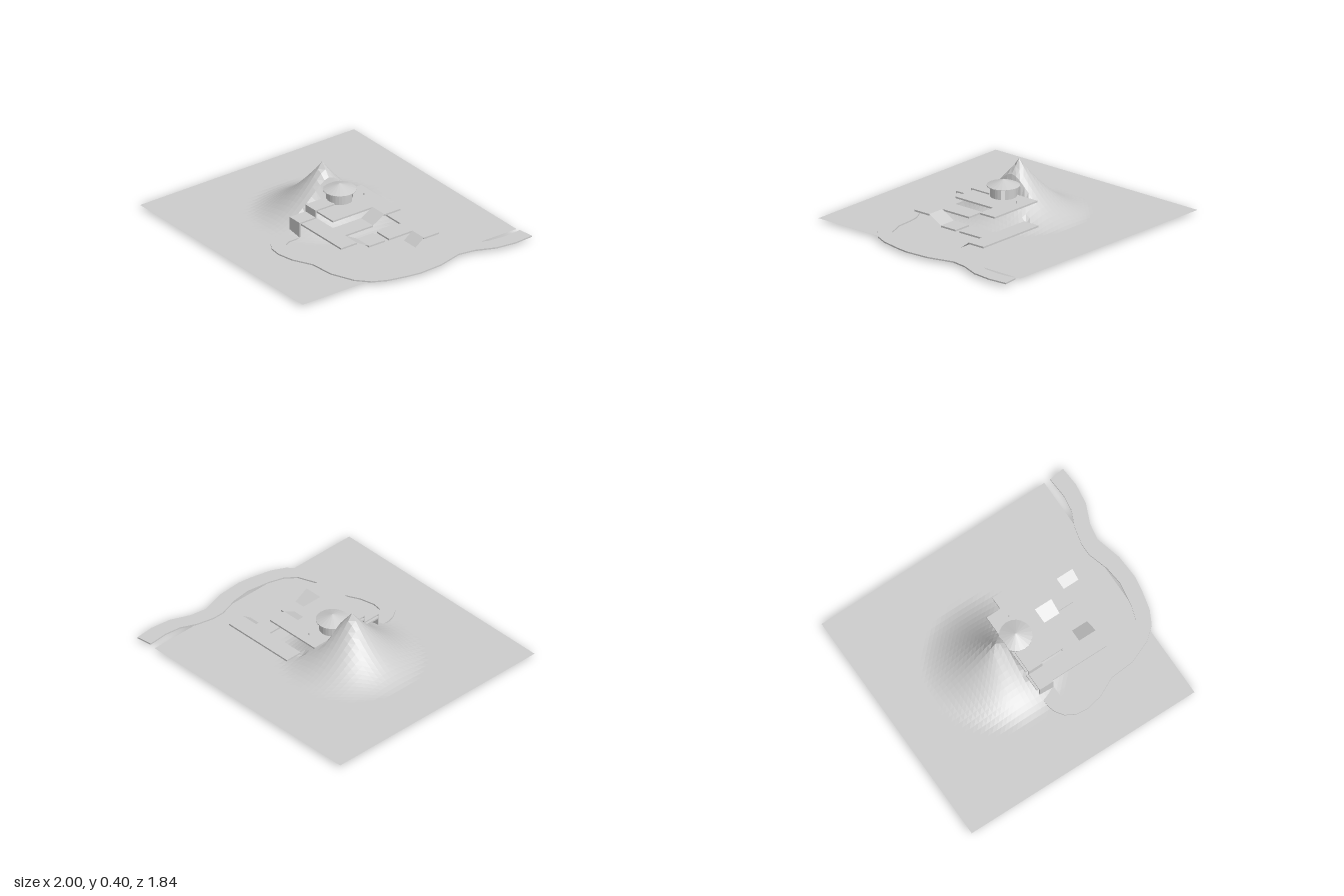
import * as THREE from 'three';

const flat = new THREE.MeshStandardMaterial({ color: 0xcccccc, flatShading: true, side: THREE.DoubleSide });

function add(parent, name, geometry, x = 0, y = 0, z = 0) {
  const mesh = new THREE.Mesh(geometry, flat);
  mesh.name = name;
  mesh.position.set(x, y, z);
  parent.add(mesh);
  return mesh;
}

// Horizontal slab from an [x, z] outline; y is its top
function slab(parent, name, outline, y, thickness = 0.012) {
  const shape = new THREE.Shape(outline.map(([x, z]) => new THREE.Vector2(x, -z)));
  const g = new THREE.ExtrudeGeometry(shape, { depth: thickness, bevelEnabled: false });
  g.rotateX(-Math.PI / 2);
  return add(parent, name, g, 0, y - thickness, 0);
}

// Sloping sheet between a high edge and a low edge
function ramp(parent, x0, x1, zHigh, yHigh, zLow, yLow) {
  const g = new THREE.PlaneGeometry(x1 - x0, 1);
  const p = g.attributes.position;
  for (let i = 0; i < p.count; i++) {
    const high = p.getY(i) > 0;
    p.setXYZ(i, p.getX(i) + (x0 + x1) / 2, high ? yHigh : yLow, high ? zHigh : zLow);
  }
  // keep the upper side as the front
  if (zHigh > zLow) g.setIndex([0, 1, 2, 2, 1, 3]);
  g.computeVertexNormals();
  return add(parent, 'ramp', g);
}

// Ground grid raised into a pointed hill and levelled under the terraces
function terrain() {
  const g = new THREE.PlaneGeometry(1.83, 1.83, 49, 49);
  g.rotateX(-Math.PI / 2);
  g.translate(-0.085, 0, 0);
  const p = g.attributes.position;
  const px = -0.178, pz = -0.0187;
  for (let i = 0; i < p.count; i++) {
    const x = p.getX(i), z = p.getZ(i);
    const r = Math.hypot(x - px, z - pz);
    let y = 0.017 + 0.385 * Math.pow(Math.max(0, 1 - r / 0.5), 1.75);
    if (x > -0.085) {
      if (z > 0.19) y = Math.min(y, 0.105);
      else if (z > -0.29) y = Math.min(y, 0.155);
    }
    if (x > 0.04 && z < -0.26) y = Math.min(y, 0.05);
    p.setY(i, y);
  }
  g.computeVertexNormals();
  return g;
}

export function createModel() {
  const model = new THREE.Group();
  add(model, 'hillAndGround', terrain());

  // Three terraces stepping down from the tower
  slab(model, 'upperTerrace', [
    [-0.075, -0.275], [0.365, -0.275], [0.365, -0.14], [0.23, -0.14], [0.23, 0.2], [-0.075, 0.2],
  ], 0.182);
  slab(model, 'middleTerrace', [
    [-0.075, 0.335], [0.5, 0.335], [0.5, 0.2], [0.365, 0.2], [0.365, -0.04], [0.23, -0.04], [0.23, 0.2], [-0.075, 0.2],
  ], 0.128);
  slab(model, 'lowerTerrace', [
    [0.06, -0.405], [0.63, -0.405], [0.63, -0.275], [0.5, -0.275], [0.5, -0.075], [0.365, -0.075], [0.365, -0.275], [0.06, -0.275],
  ], 0.07);
  slab(model, 'lowerLanding', [[0.365, -0.04], [0.5, -0.04], [0.5, 0.095], [0.365, 0.095]], 0.07);

  // Ramps joining the levels
  ramp(model, 0.23, 0.365, -0.14, 0.182, -0.04, 0.128);
  ramp(model, 0.365, 0.5, 0.2, 0.128, 0.095, 0.07);
  ramp(model, 0.5, 0.63, -0.275, 0.07, -0.18, 0);

  // Winding path: outer bank one way, inner bank back
  const outer = [
    [-0.06, 0.345], [-0.055, 0.45], [-0.04, 0.5], [0, 0.56], [0.07, 0.6], [0.16, 0.61], [0.28, 0.585], [0.42, 0.515],
    [0.6, 0.5], [0.77, 0.43], [0.86, 0.35], [0.91, 0.25], [0.945, 0.1], [0.96, 0], [0.95, -0.18],
    [0.9, -0.37], [0.92, -0.49], [0.98, -0.63], [1, -0.78], [0.99, -0.925],
  ];
  const inner = [
    [0.055, 0.345], [0.055, 0.44], [0.08, 0.49], [0.15, 0.5], [0.26, 0.475], [0.4, 0.405], [0.48, 0.392], [0.6, 0.385],
    [0.73, 0.335], [0.79, 0.26], [0.825, 0.15], [0.85, -0.02], [0.835, -0.16], [0.79, -0.31], [0.79, -0.4],
    [0.82, -0.53], [0.87, -0.64], [0.885, -0.76], [0.875, -0.91],
  ];
  slab(model, 'windingPath', [...outer, ...inner.reverse()], 0.03, 0.01);

  // Path folded up the terraces to the tower
  const climb = [
    ['lowerRiser', 0.02, 0.14, 0.34, 0.35],
    ['lowerTread', 0.13, 0.14, 0.205, 0.35],
    ['upperRiser', 0.13, 0.193, 0.205, 0.215],
    ['upperTread', 0.183, 0.193, 0.05, 0.215],
  ];
  for (const [name, y0, y1, z0, z1] of climb) {
    add(model, name, new THREE.BoxGeometry(0.113, y1 - y0, z1 - z0), -0.003, (y0 + y1) / 2, (z0 + z1) / 2);
  }

  // Round tower with a doorway and a pointed roof
  const tower = new THREE.Group();
  tower.name = 'tower';
  tower.position.set(0, 0, -0.033);
  model.add(tower);
  const rad = Math.PI / 180;
  add(tower, 'towerWall', new THREE.CylinderGeometry(0.092, 0.092, 0.085, 24, 1, true, 139 * rad, 341 * rad), 0, 0.2165, 0);
  add(tower, 'roofUnderside', new THREE.CylinderGeometry(0.115, 0.115, 0.005, 20), 0, 0.2585, 0);
  add(tower, 'roof', new THREE.ConeGeometry(0.115, 0.042, 20), 0, 0.282, 0);

  // Small post on the upper terrace
  add(model, 'post', new THREE.BoxGeometry(0.007, 0.018, 0.007), 0.055, 0.19, -0.2);
  return model;
}
